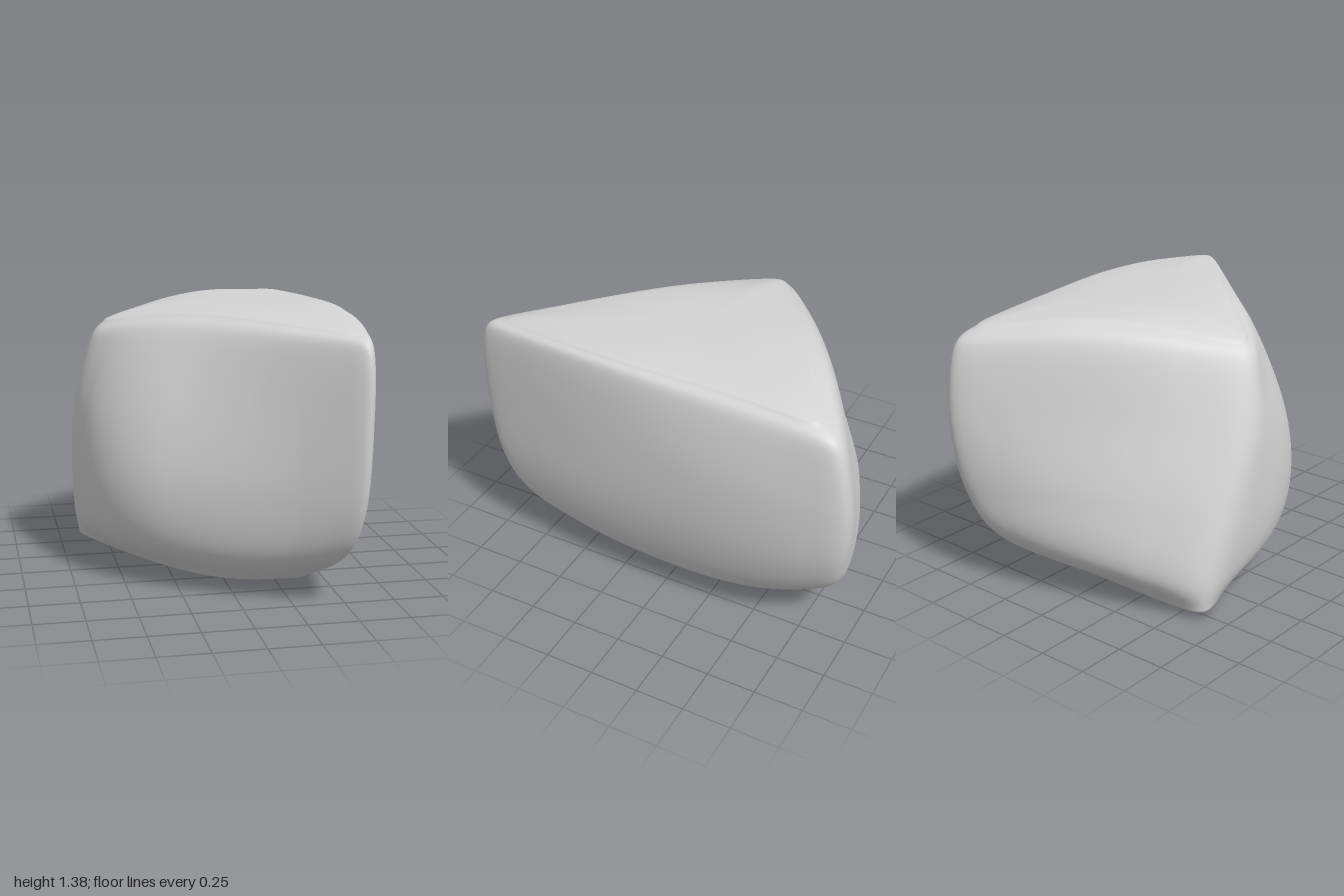
import * as THREE from 'three';

// A rail runs down the body from the top rim to the bottom rim.
// The weight sets how crisp the surface is along it.
const rail = (weight, pts) => ({
  weight,
  curve: new THREE.CatmullRomCurve3(pts.map((p) => new THREE.Vector3(...p)), false, 'catmullrom', 0.5),
});

const frontRidge = rail(4.5, [[0.48, 1.33, 0.86], [0.525, 1.26, 0.98], [0.53, 0.9, 1], [0.52, 0.5, 0.95], [0.47, 0.25, 0.81], [0.34, 0.065, 0.52]]);
const sideFront = rail(1, [[0.595, 1.366, 0.29], [0.643, 1.29, 0.32], [0.655, 0.9, 0.3], [0.635, 0.5, 0.28], [0.54, 0.18, 0.25], [0.36, 0.04, 0.2]]);
const sideBack = rail(1, [[0.565, 1.345, -0.42], [0.637, 1.25, -0.48], [0.69, 0.9, -0.5], [0.66, 0.5, -0.5], [0.54, 0.18, -0.43], [0.33, 0.03, -0.3]]);
const backRidge = rail(2.2, [[0.53, 1.315, -0.81], [0.575, 1.21, -0.945], [0.57, 0.85, -1], [0.525, 0.5, -0.965], [0.41, 0.25, -0.86], [0.2, 0.035, -0.54]]);
const backFace = rail(1, [[0, 1.374, -0.48], [-0.02, 1.28, -0.61], [-0.02, 0.9, -0.72], [-0.02, 0.55, -0.81], [-0.02, 0.24, -0.81], [-0.03, 0.03, -0.56]]);
const slantedRidge = rail(3, [[-0.53, 1.285, -0.14], [-0.605, 1.18, -0.16], [-0.672, 0.85, -0.27], [-0.675, 0.5, -0.42], [-0.655, 0.2, -0.54], [-0.645, 0.045, -0.55]]);
const frontBulge = rail(1, [[-0.3, 1.335, 0.1], [-0.37, 1.24, 0.18], [-0.52, 0.85, 0.25], [-0.575, 0.5, 0.26], [-0.55, 0.23, 0.18], [-0.4, 0.07, 0.05]]);
const frontFace = rail(1, [[0, 1.36, 0.39], [-0.02, 1.26, 0.5], [-0.02, 0.9, 0.62], [-0.02, 0.55, 0.67], [-0.02, 0.23, 0.62], [-0.05, 0.055, 0.42]]);

// Order around the body, seen from above: counterclockwise from the front corner
const RAILS = [frontRidge, sideFront, sideBack, backRidge, backFace, slantedRidge, frontBulge, frontFace];

const STEPS = 16; // points per rail around the body
const COLS = RAILS.length * STEPS;
const CAP_ROWS = 18;
const SIDE_ROWS = 56;

// Closed ring through all rails at height parameter t: one conic arc per rail.
function ringAt(t) {
  const n = RAILS.length;
  const p = RAILS.map((r) => r.curve.getPoint(t));
  const control = p.map((q, i) => {
    const middle = p[(i + n - 1) % n].clone().add(p[(i + 1) % n]).multiplyScalar(0.5);
    return q.clone().addScaledVector(q.clone().sub(middle), 0.55 / (1 + RAILS[i].weight));
  });
  const ring = [];
  control.forEach((k, i) => {
    const start = control[(i + n - 1) % n].clone().lerp(k, 0.5);
    const end = k.clone().lerp(control[(i + 1) % n], 0.5);
    for (let j = 0; j < STEPS; j++) {
      const u = j / STEPS;
      const a = (1 - u) ** 2, b = 2 * u * (1 - u) * RAILS[i].weight, c = u * u;
      ring.push(new THREE.Vector3()
        .addScaledVector(start, a).addScaledVector(k, b).addScaledVector(end, c)
        .divideScalar(a + b + c));
    }
  });
  return ring;
}

// Shrinks a rim towards a centre to make a gently domed cap.
function capRing(rim, centre, s, power) {
  return rim.map((p) => new THREE.Vector3(
    centre.x + (p.x - centre.x) * s,
    centre.y + (p.y - centre.y) * s ** power,
    centre.z + (p.z - centre.z) * s,
  ));
}

function bodyGeometry() {
  const rows = [];
  const topRim = ringAt(0), bottomRim = ringAt(1);
  const topCentre = new THREE.Vector3(0.15, 1.385, -0.05);
  const bottomCentre = new THREE.Vector3(0, 0, -0.08);
  for (let i = 0; i < CAP_ROWS; i++) rows.push(capRing(topRim, topCentre, i / CAP_ROWS, 3));
  for (let i = 0; i <= SIDE_ROWS; i++) rows.push(ringAt(i / SIDE_ROWS));
  for (let i = CAP_ROWS - 1; i >= 0; i--) rows.push(capRing(bottomRim, bottomCentre, i / CAP_ROWS, 2.8));

  const index = [];
  for (let v = 0; v < rows.length - 1; v++) {
    for (let u = 0; u < COLS; u++) {
      const next = (u + 1) % COLS;
      const a = v * COLS + u, b = v * COLS + next;
      const c = a + COLS, d = b + COLS;
      if (v > 0) index.push(a, c, b);
      if (v < rows.length - 2) index.push(b, c, d);
    }
  }
  const geometry = new THREE.BufferGeometry().setFromPoints(rows.flat());
  geometry.setIndex(index);
  geometry.computeVertexNormals();
  return geometry;
}

export function createModel() {
  const stoneGrey = new THREE.MeshStandardMaterial({ color: 0xd4d4d4 });
  stoneGrey.name = 'stoneGrey';
  const body = new THREE.Mesh(bodyGeometry(), stoneGrey);
  body.name = 'stoneBody';
  const group = new THREE.Group();
  group.name = 'stone';
  group.add(body);
  return group;
}
